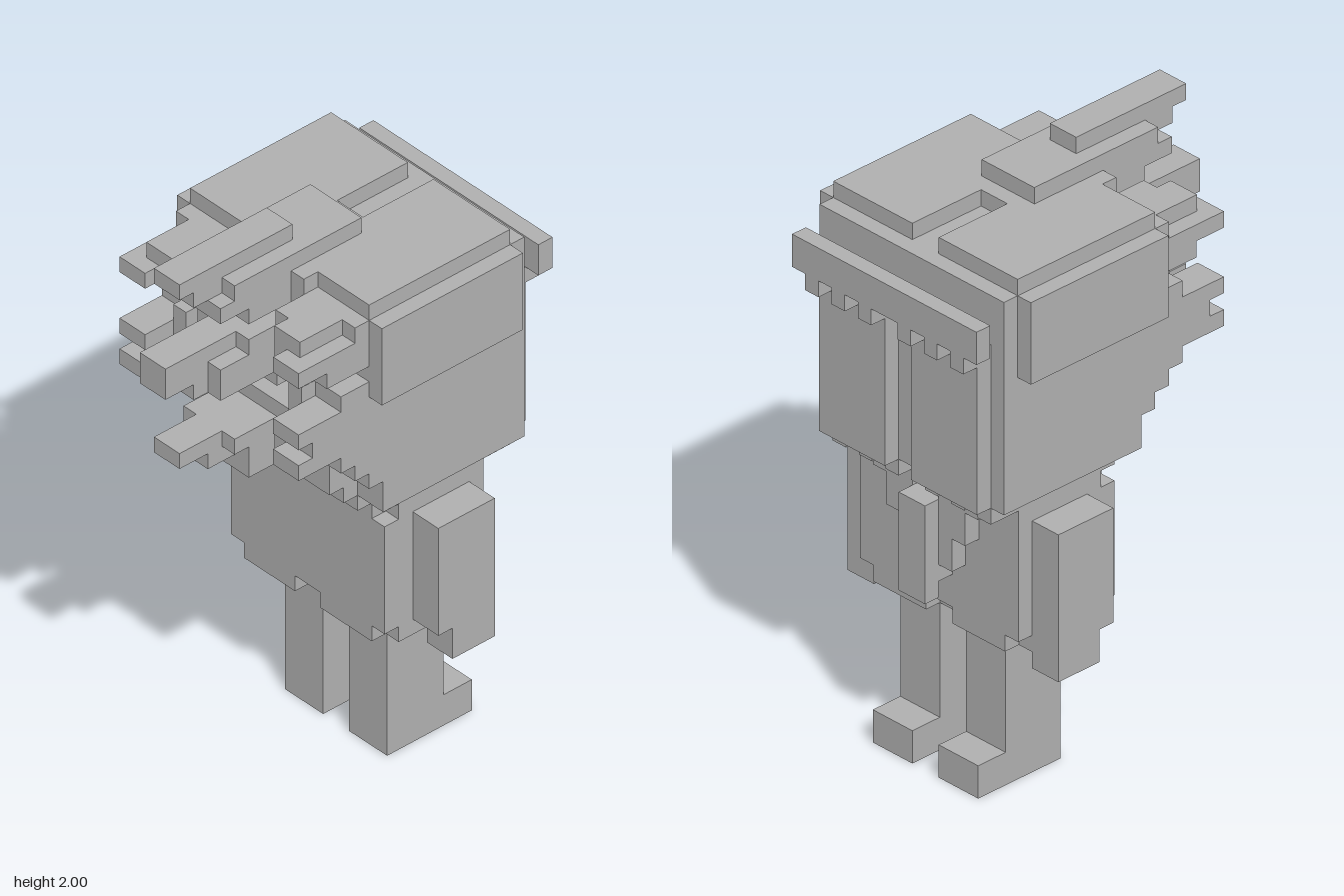
import * as THREE from 'three';

const U = 2 / 35; // one block of the grid
const grey = new THREE.MeshStandardMaterial({ color: 0xb0b0b0 });
grey.name = 'stoneGrey';

// Each row is a block: x0, x1, y0, y1, z0, z1 in grid units
function part(parent, name, rows, mirrored = false) {
  const group = new THREE.Group();
  group.name = name;
  const add = (x0, x1, y0, y1, z0, z1) => {
    const mesh = new THREE.Mesh(
      new THREE.BoxGeometry((x1 - x0) * U, (y1 - y0) * U, (z1 - z0) * U), grey);
    mesh.position.set((x0 + x1) * U / 2, (y0 + y1) * U / 2, (z0 + z1) * U / 2);
    mesh.name = name + 'Block';
    group.add(mesh);
  };
  for (const [x0, x1, ...rest] of rows) {
    add(x0, x1, ...rest);
    if (mirrored) add(-x1, -x0, ...rest);
  }
  parent.add(group);
}

export function createModel() {
  const model = new THREE.Group();
  model.name = 'blockFigure';

  // Legs with feet pointing to -z
  part(model, 'leg', [[1, 4, 0, 10, -6, -2]], true);
  part(model, 'foot', [[1, 4, 0, 2, -8, -6]], true);

  // Jacket, notched along its lower hem and open at the collar
  part(model, 'jacketCore', [[-6, 6, 9, 17, -6, -1], [-6, 6, 10, 17, -1, 0], [-6, 6, 10, 17, -7, -6],
    [-1, 1, 17, 18, -7, -1]]);
  part(model, 'jacketHem', [[1, 5, 9, 10, -1, 0], [1, 5, 9, 10, -7, -6]], true);
  part(model, 'shoulder', [[1, 6, 17, 18, -7, -1], [2, 5, 17, 18, -1, 0]], true);
  part(model, 'arm', [[6, 8, 10, 17, -6, -2], [6, 8, 8, 10, -6, -3]], true);

  // Stepped lapels and hanging tie
  part(model, 'lapel', [[1, 4, 17, 18, -8, -7], [1, 3, 15, 17, -8, -7], [1, 2, 13, 15, -8, -7]], true);
  part(model, 'tie', [[-1, 1, 12, 17, -8, -7], [-1, 1, 11, 17, -9, -8]]);

  // Head, stepping in towards the neck
  part(model, 'head', [[-7, 7, 21, 32, -9, 2], [-7, 7, 19, 21, -9, 1]]);
  part(model, 'nape', [[1, 6, 18, 19, -8, 0], [2, 5, 18, 19, 0, 1],
    [1, 2, 18, 19, -9, -8], [3, 4, 18, 19, -9, -8], [5, 6, 18, 19, -9, -8]], true);
  part(model, 'crown', [[-7, 7, 32, 33, -3, 2]]);
  part(model, 'crownHalf', [[1, 7, 32, 33, -8, -3]], true);
  part(model, 'sidePanel', [[7, 8, 27, 32, -8, 2]], true);

  // Face panels either side of a central groove
  part(model, 'facePanel', [[1, 6, 19, 28, -10, -9]], true);

  // Brim with a row of teeth beneath
  part(model, 'brim', [[-7, 7, 29, 31, -11, -10]]);
  part(model, 'brimTooth', [1, 3, 5].map(x => [x, x + 1, 28, 29, -11, -9]), true);

  // Central spikes of hair: top, middle and lower
  part(model, 'topSpike', [[-2, 2, 33, 34, -2, 7], [-1, 1, 34, 35, 2, 10], [-1, 1, 33, 34, 7, 9],
    [-2, 2, 32, 33, 2, 8], [-2, 2, 31, 32, 2, 6], [-3, 3, 31, 33, 2, 3]]);
  part(model, 'middleSpike', [[-1, 1, 28, 30, 2, 11], [-1, 1, 27, 28, 2, 9], [-2, 2, 27, 29, 2, 8],
    [-2, 2, 29, 30, 2, 6], [-3, 3, 27, 29, 2, 4], [-2, 2, 26, 27, 2, 4]]);
  part(model, 'lowerSpike', [[-1, 1, 23, 24, 2, 10], [-1, 1, 22, 23, 2, 8], [-2, 2, 23, 24, 2, 7],
    [-2, 2, 21, 23, 2, 6], [-3, 3, 22, 25, 2, 4]]);

  // Side spikes in three tiers
  part(model, 'upperSideSpike', [[5, 7, 30, 31, 2, 7], [4, 6, 31, 32, 2, 6], [6, 7, 31, 32, 2, 3],
    [3, 4, 30, 32, 2, 5], [2, 3, 30, 31, 2, 4], [4, 5, 30, 31, 2, 6], [5, 7, 29, 30, 2, 5]], true);
  part(model, 'middleSideSpike', [[5, 7, 26, 27, 2, 7], [4, 5, 26, 28, 2, 5], [5, 7, 27, 28, 2, 4],
    [6, 7, 25, 26, 2, 6], [3, 4, 25, 27, 2, 4]], true);
  part(model, 'lowerSideSpike', [[5, 7, 24, 25, 2, 7], [4, 5, 24, 25, 2, 6], [3, 5, 23, 24, 2, 5],
    [5, 7, 23, 24, 2, 4], [3, 7, 22, 23, 2, 3]], true);

  // Ragged hair along the lower edge
  part(model, 'lowerFringe', [[2, 5, 20, 22, 1, 3], [5, 7, 21, 22, 1, 2], [1, 5, 19, 20, 1, 2],
    [0, 2, 20, 21, 1, 3]], true);

  return model;
}
